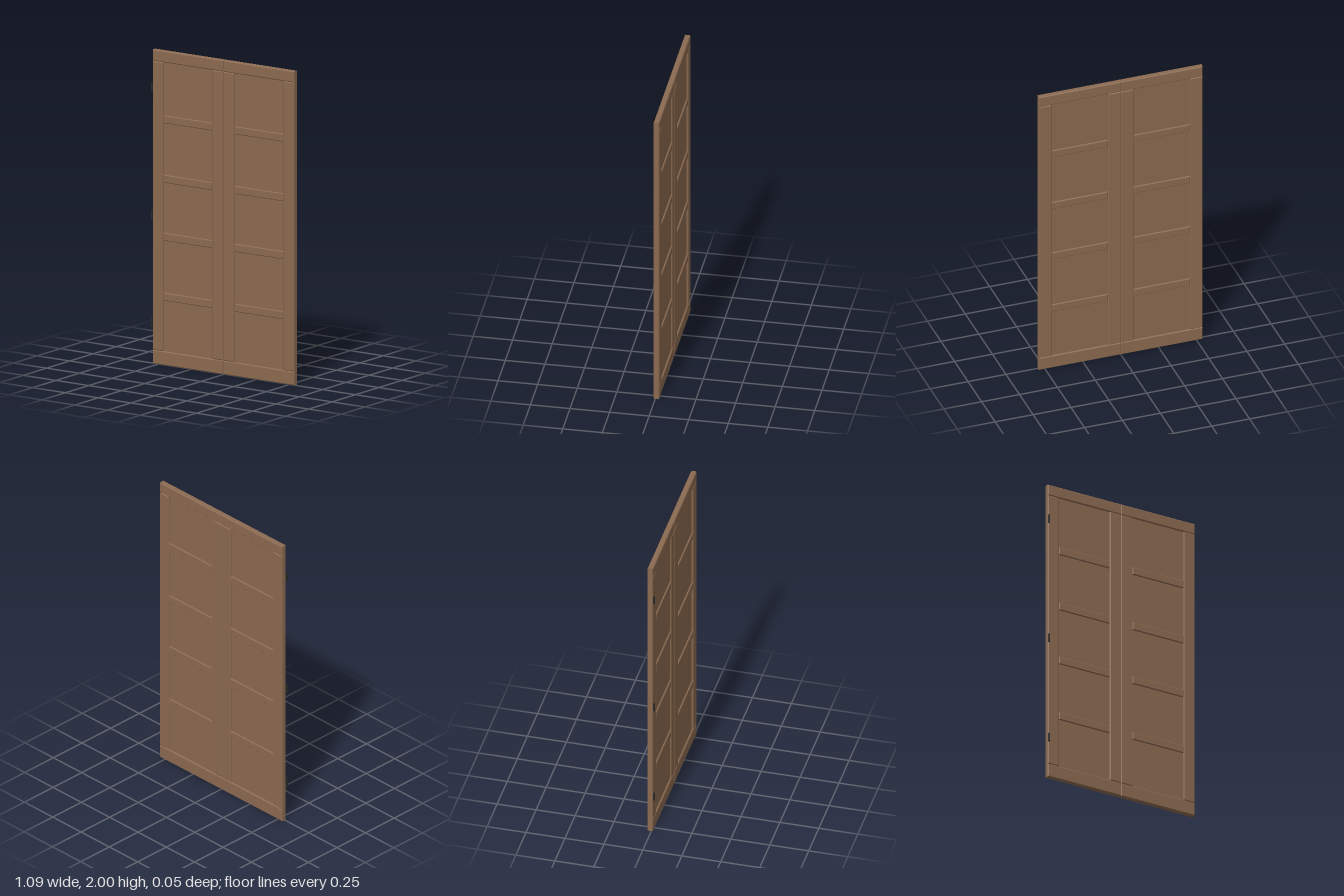
import * as THREE from 'three';

// Board with small chamfers around its front and back faces
function board(x0, x1, y0, y1, z0, z1, c) {
  const s = new THREE.Shape();
  s.moveTo(x0 + c, y0 + c);
  s.lineTo(x1 - c, y0 + c);
  s.lineTo(x1 - c, y1 - c);
  s.lineTo(x0 + c, y1 - c);
  s.closePath();
  const g = new THREE.ExtrudeGeometry(s, {
    depth: z1 - z0 - 2 * c,
    bevelEnabled: true, bevelThickness: c, bevelSize: c, bevelSegments: 1,
  });
  g.translate(0, 0, z0 + c);
  return g;
}

export function createModel() {
  const door = new THREE.Group();
  door.name = 'doubleDoor';

  const wood = new THREE.MeshStandardMaterial({ color: 0x8b6a50 });
  wood.name = 'brown wood';
  const iron = new THREE.MeshStandardMaterial({ color: 0x2b2927 });
  iron.name = 'dark iron';

  const back = -0.025, front = 0.011, chamfer = 0.005;
  const width = 0.541, outer = 0.458, inner = 0.084;
  const bottom = 0.088, top = 1.928;

  for (const side of [-1, 1]) {
    const leaf = new THREE.Group();
    leaf.name = side < 0 ? 'rightLeaf' : 'leftLeaf';
    door.add(leaf);

    const add = (name, xa, xb, y0, y1, z0 = back, z1 = front, c = chamfer) => {
      const x0 = Math.min(side * xa, side * xb), x1 = Math.max(side * xa, side * xb);
      const mesh = new THREE.Mesh(board(x0, x1, y0, y1, z0, z1, c), wood);
      mesh.name = name;
      leaf.add(mesh);
    };

    // Frame
    add('bottomRail', 0, width, 0, bottom);
    add('topRail', 0, width, top, 2);
    add('outerStile', outer, width, bottom, top);
    add('innerStile', 0, inner, bottom, top);

    // Recessed panel, tucked slightly into the frame
    add('panel', inner - 0.01, outer + 0.01, bottom - 0.01, top + 0.01, back + 0.01, front - 0.01, 0.001);

    // Cross slats, standing proud of the panel on both faces
    for (const y of [0.436, 0.818, 1.187, 1.566]) {
      add('crossSlat', inner, outer, y - 0.025, y + 0.025, back + 0.001, front - 0.001, 0.004);
    }
  }

  // Hinge barrels on one outer edge
  for (const y of [0.265, 0.947, 1.763]) {
    const hinge = new THREE.Mesh(new THREE.CylinderGeometry(0.006, 0.006, 0.054, 12), iron);
    hinge.name = 'hinge';
    hinge.position.set(-0.539, y, 0.018);
    door.add(hinge);
  }

  return door;
}
